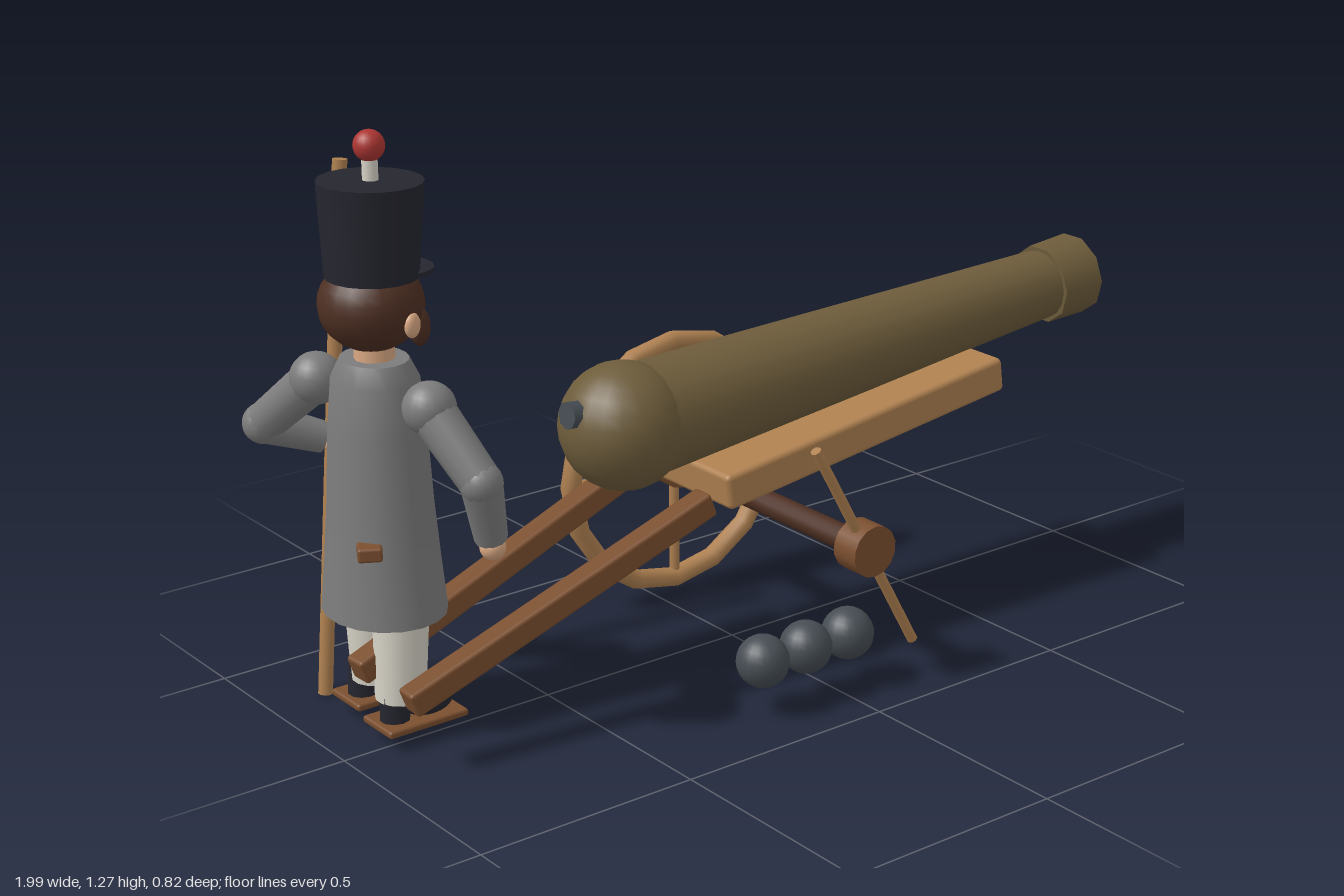
import * as THREE from 'three';
import { RoundedBoxGeometry } from 'three/addons/geometries/RoundedBoxGeometry.js';

export function createModel() {
  const model = new THREE.Group();
  const mat = (name, color) => {
    const m = new THREE.MeshStandardMaterial({ color });
    m.name = name;
    return m;
  };
  const bronze = mat('bronze', 0x6d5c3b), tan = mat('light wood', 0xae8050), wood = mat('wood', 0x7b4f2f),
    dark = mat('dark brown', 0x4d2f22), grey = mat('coat grey', 0x7c7c7c), navy = mat('navy black', 0x25262f),
    white = mat('off white', 0xd6d2c6), skin = mat('skin', 0xd9a882), red = mat('red', 0xac3632), iron = mat('iron', 0x464d53);

  const V = (x, y, z) => new THREE.Vector3(x, y, z);
  const group = (name, parent = model) => {
    const g = new THREE.Group();
    g.name = name;
    parent.add(g);
    return g;
  };
  const add = (parent, name, geo, material, x = 0, y = 0, z = 0) => {
    const m = new THREE.Mesh(geo, material);
    m.name = name;
    m.position.set(x, y, z);
    parent.add(m);
    return m;
  };
  // Round bar from a to b with a radius at each end
  const rod = (parent, name, a, b, ra, rb, material, sides = 12) => {
    const d = b.clone().sub(a);
    const m = add(parent, name, new THREE.CylinderGeometry(rb, ra, d.length(), sides), material);
    m.position.copy(a).addScaledVector(d, 0.5);
    m.quaternion.setFromUnitVectors(V(0, 1, 0), d.normalize());
    return m;
  };
  const ball = (parent, name, p, rx, ry, rz, material) => {
    const m = add(parent, name, new THREE.SphereGeometry(1, 20, 14), material, ...p);
    m.scale.set(rx, ry, rz);
    return m;
  };

  // Cannon barrel, laid along its tilted axis
  const cannon = group('cannon');
  const cz = 0.042;
  const axis = x => V(x, 0.605 + 0.069 * x, cz);
  rod(cannon, 'barrel', axis(-0.32), axis(0.9), 0.125, 0.08, bronze, 16);
  rod(cannon, 'muzzleRing', axis(0.88), axis(0.99), 0.092, 0.095, bronze, 10);
  ball(cannon, 'breech', [-0.323, 0.585, cz], 0.138, 0.138, 0.138, bronze);
  rod(cannon, 'breechButton', V(-0.465, 0.637, cz), V(-0.40, 0.63, cz), 0.03, 0.03, iron, 8);

  // Carriage bed and trails
  const carriage = group('carriage');
  add(carriage, 'bed', new RoundedBoxGeometry(0.795, 0.08, 0.285, 2, 0.012), tan, 0.242, 0.482, cz).rotation.z = 0.13;
  for (const s of [1, -1]) {
    const a = V(-0.925, 0.157, 0.036 + s * 0.098), b = V(-0.198, 0.424, 0.036 + s * 0.132);
    const d = b.clone().sub(a);
    const trail = add(carriage, 'trail', new RoundedBoxGeometry(d.length(), 0.055, 0.054, 2, 0.008), wood);
    trail.position.copy(a).add(b).multiplyScalar(0.5);
    trail.rotation.set(0, -Math.atan2(d.z, d.x), Math.atan2(d.y, Math.hypot(d.x, d.z)), 'YXZ');
  }

  // Axle, hubs, one rimmed wheel and one bare spoke
  const wx = 0.06, wy = 0.32;
  rod(carriage, 'axle', V(wx, wy, -0.29), V(wx, wy, 0.38), 0.028, 0.028, dark, 12);
  for (const z of [-0.291, 0.376]) rod(carriage, 'hub', V(wx, wy, z - 0.034), V(wx, wy, z + 0.034), 0.057, 0.057, wood, 14);
  add(carriage, 'wheelRim', new THREE.TorusGeometry(0.288, 0.023, 10, 16), tan, wx, wy, -0.291);
  const spoke = (z, angle) => {
    const dx = 0.285 * Math.cos(angle), dy = 0.285 * Math.sin(angle);
    rod(carriage, 'spoke', V(wx - dx, wy - dy, z), V(wx + dx, wy + dy, z), 0.012, 0.012, tan, 8);
  };
  spoke(-0.291, 0);
  spoke(-0.291, Math.PI / 2);
  spoke(0.378, 2.08);

  // Row of shot
  for (let i = 0; i < 3; i++) ball(model, 'cannonball', [-0.196 + i * 0.116, 0.122, 0.352], 0.057, 0.057, 0.057, iron);

  // Gunner: legs and shoes
  const gunner = group('gunner');
  const gx = -0.835, gz = -0.09;
  for (const [fz, lz, dx] of [[-0.02, -0.028, -0.01], [-0.172, -0.147, 0.006]]) {
    rod(gunner, 'leg', V(gx + dx, 0.09, lz), V(gx, 0.32, lz), 0.053, 0.06, white, 14);
    add(gunner, 'sole', new RoundedBoxGeometry(0.19, 0.016, 0.11, 2, 0.006), wood, -0.805 + dx, 0.041, fz);
    ball(gunner, 'shoeToe', [-0.78 + dx, 0.073, fz], 0.06, 0.03, 0.046, navy);
    rod(gunner, 'shoeHeel', V(-0.855 + dx, 0.048, fz), V(-0.855 + dx, 0.12, fz), 0.032, 0.03, navy, 10);
  }

  // Coat, with a flared skirt
  const profile = [[0, 0.267], [0.144, 0.267], [0.144, 0.267], [0.132, 0.38], [0.121, 0.5], [0.111, 0.66],
    [0.1, 0.765], [0.078, 0.806], [0.078, 0.806], [0, 0.806]].map(p => new THREE.Vector2(...p));
  add(gunner, 'coat', new THREE.LatheGeometry(profile, 18), grey, gx, 0, gz - 0.002).scale.x = 0.86;
  add(gunner, 'pouch', new RoundedBoxGeometry(0.05, 0.038, 0.075, 2, 0.006), wood, -0.742, 0.435, -0.148).rotation.y = 0.5;
  add(gunner, 'pouchCatch', new THREE.BoxGeometry(0.025, 0.025, 0.025), tan, -0.718, 0.455, -0.122);
  add(gunner, 'sidePouch', new RoundedBoxGeometry(0.05, 0.03, 0.05, 2, 0.006), wood, -0.918, 0.437, -0.002).rotation.y = -0.5;

  // Arms: shoulder, elbow, wrist
  const arm = (name, shoulder, elbow, wrist) => {
    const g = group(name, gunner);
    ball(g, 'shoulder', shoulder.toArray(), 0.055, 0.055, 0.055, grey);
    rod(g, 'upperArm', shoulder, elbow, 0.048, 0.043, grey);
    ball(g, 'elbow', elbow.toArray(), 0.044, 0.044, 0.044, grey);
    rod(g, 'forearm', elbow, wrist, 0.043, 0.034, grey);
    const hand = wrist.clone().sub(elbow).setLength(0.022).add(wrist);
    ball(g, 'hand', hand.toArray(), 0.027, 0.027, 0.027, skin);
  };
  arm('rightArm', V(-0.808, 0.735, 0.065), V(-0.77, 0.605, 0.185), V(-0.738, 0.475, 0.165));
  arm('leftArm', V(-0.888, 0.735, -0.235), V(-0.945, 0.615, -0.362), V(-0.83, 0.57, -0.318));
  rod(gunner, 'staff', V(-0.868, 0.004, -0.298), V(-0.752, 1.15, -0.335), 0.016, 0.016, tan, 10);

  // Head, turned slightly to its left
  rod(gunner, 'neck', V(gx, 0.79, gz), V(gx, 0.87, gz), 0.042, 0.04, skin);
  const head = group('head', gunner);
  head.position.set(-0.84, 0.92, -0.087);
  head.rotation.y = 0.31;
  ball(head, 'skull', [0, 0, 0], 0.107, 0.095, 0.108, dark);
  ball(head, 'nose', [0.113, -0.036, 0], 0.022, 0.027, 0.019, skin);
  for (const s of [1, -1]) {
    ball(head, 'ear', [0, -0.027, s * 0.105], 0.02, 0.026, 0.013, skin);
    ball(head, 'sideburn', [0.045, -0.045, s * 0.085], 0.024, 0.04, 0.02, dark);
    const eye = group('eye', head);
    eye.position.set(0.093, -0.006, s * 0.042);
    eye.rotation.y = -s * 0.4;
    ball(eye, 'eyeWhite', [0, 0, 0], 0.011, 0.022, 0.02, white);
    ball(eye, 'pupil', [0.009, 0, 0], 0.005, 0.012, 0.012, navy);
  }

  // Tall hat with visor and pompom
  rod(gunner, 'hat', V(-0.835, 0.975, -0.088), V(-0.83, 1.17, -0.088), 0.094, 0.107, navy, 18);
  const visor = add(head, 'visor', new THREE.CylinderGeometry(0.092, 0.092, 0.01, 20), navy, 0.058, 0.06, 0);
  visor.scale.x = 0.95;
  visor.rotation.z = -0.05;
  rod(gunner, 'plumeStem', V(-0.829, 1.165, -0.088), V(-0.829, 1.225, -0.088), 0.016, 0.016, white);
  ball(gunner, 'pompom', [-0.829, 1.239, -0.088], 0.032, 0.032, 0.032, red);

  return model;
}
